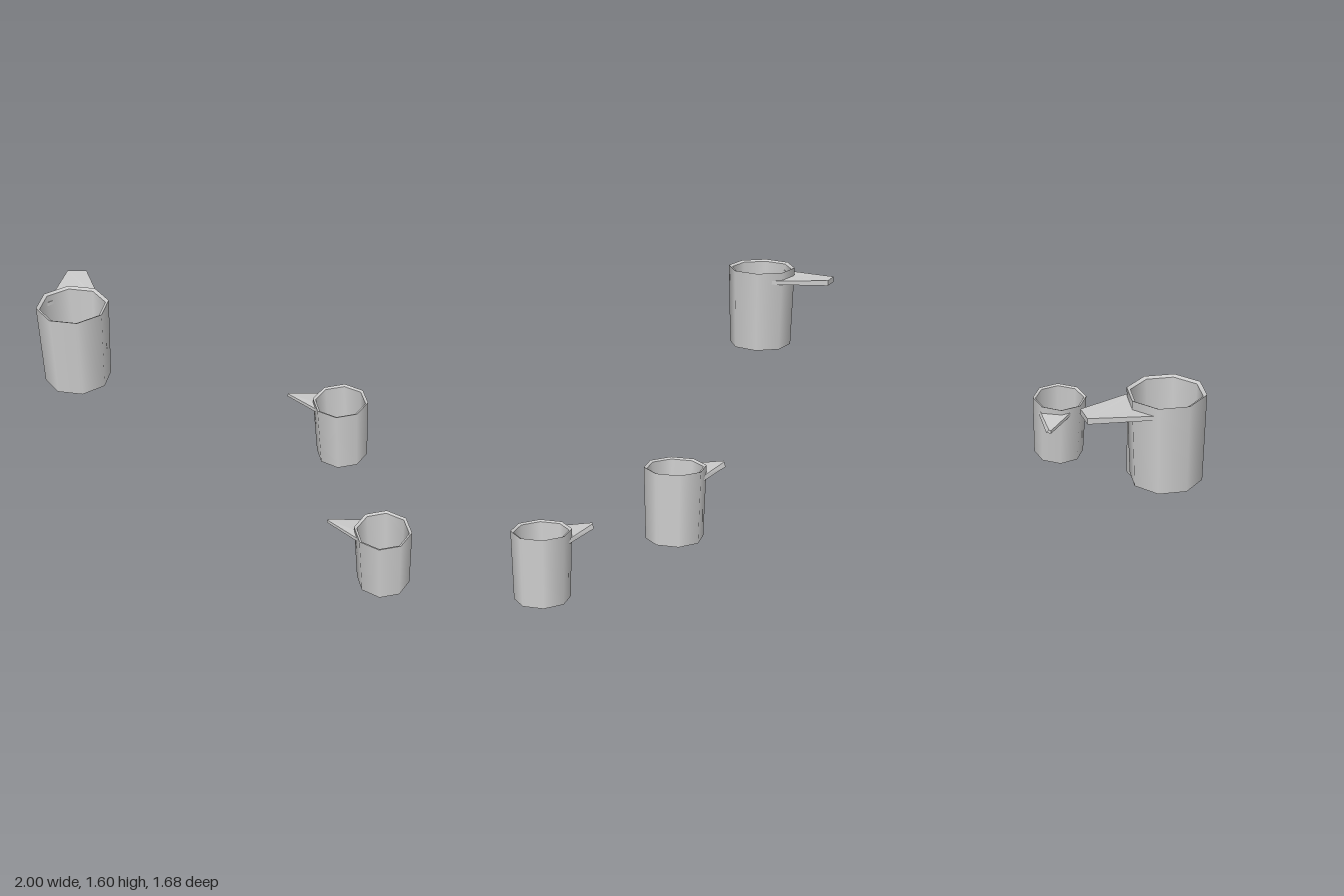
import * as THREE from 'three';
import { mergeGeometries } from 'three/addons/utils/BufferGeometryUtils.js';

const material = new THREE.MeshStandardMaterial({ color: 0xcccccc });

// Eight-sided pail: each profile run is its own lathe, so the rim and floors stay sharp
function pailGeometry() {
  const profile = [[0, 0], [0.196, 0], [0.21, 0.5], [0.19, 0.49], [0.175, 0.04], [0, 0.04]]
    .map(([r, y]) => new THREE.Vector2(r, y));
  const runs = [];
  for (let i = 0; i < profile.length - 1; i++) {
    runs.push(new THREE.LatheGeometry([profile[i], profile[i + 1]], 8));
  }
  return mergeGeometries(runs);
}

// Flat slab between matching top and bottom outlines, counterclockwise from above
function slabGeometry(top, bottom) {
  const n = top.length;
  const index = [];
  for (let i = 1; i < n - 1; i++) {
    index.push(0, i, i + 1, n, n + i + 1, n + i);
  }
  for (let i = 0; i < n; i++) {
    const j = (i + 1) % n;
    index.push(i, n + i, n + j, i, n + j, j);
  }
  const geometry = new THREE.BufferGeometry();
  geometry.setAttribute('position', new THREE.Float32BufferAttribute([...top, ...bottom].flat(), 3));
  geometry.setIndex(index);
  const flat = geometry.toNonIndexed();
  flat.computeVertexNormals();
  return flat;
}

function addMesh(parent, name, geometry) {
  const mesh = new THREE.Mesh(geometry, material);
  mesh.name = name;
  parent.add(mesh);
  return mesh;
}

export function createModel() {
  const model = new THREE.Group();
  model.name = 'pails';
  const pail = pailGeometry();

  // Large upright pail with a broad tapering handle
  const large = new THREE.Group();
  large.name = 'largePail';
  const body = addMesh(large, 'largePailBody', pail);
  body.position.set(-0.79, 1.1, -0.382);
  body.rotation.y = -0.04;
  const largeTop = [
    [-0.75, 1.56, -0.84], [-0.92, 1.55, -0.515], [-0.79, 1.55, -0.578],
    [-0.65, 1.55, -0.52], [-0.614, 1.55, -0.45], [-0.64, 1.56, -0.81],
  ];
  const largeBottom = largeTop.map(([x, y, z]) => [x, 1.527, z]);
  addMesh(large, 'largePailHandle', slabGeometry(largeTop, largeBottom));
  model.add(large);

  // Two small leaning pails, alike apart from their place
  const smallTop = [
    [0.508, 0.785, -0.31], [0.63, 0.8, -0.08], [0.642, 0.8, -0.157],
    [0.735, 0.795, -0.23], [0.77, 0.795, -0.232], [0.525, 0.785, -0.315],
  ];
  const smallBottom = [
    [0.508, 0.765, -0.31], [0.63, 0.777, -0.08], [0.642, 0.777, -0.157],
    [0.735, 0.772, -0.23], [0.785, 0.772, -0.235], [0.54, 0.762, -0.325],
  ];
  const smallHandle = slabGeometry(smallTop, smallBottom);
  [['upperSmallPail', 0, 0, 0], ['lowerSmallPail', 0.035, -0.42, 0.757]].forEach(([name, x, y, z]) => {
    const small = new THREE.Group();
    small.name = name;
    const smallBody = addMesh(small, name + 'Body', pail);
    smallBody.position.set(0.81, 0.438, -0.078);
    smallBody.rotation.set(0, 0.3, 0.085, 'ZYX');
    smallBody.scale.setScalar(0.82);
    addMesh(small, name + 'Handle', smallHandle);
    small.position.set(x, y, z);
    model.add(small);
  });

  return model;
}
